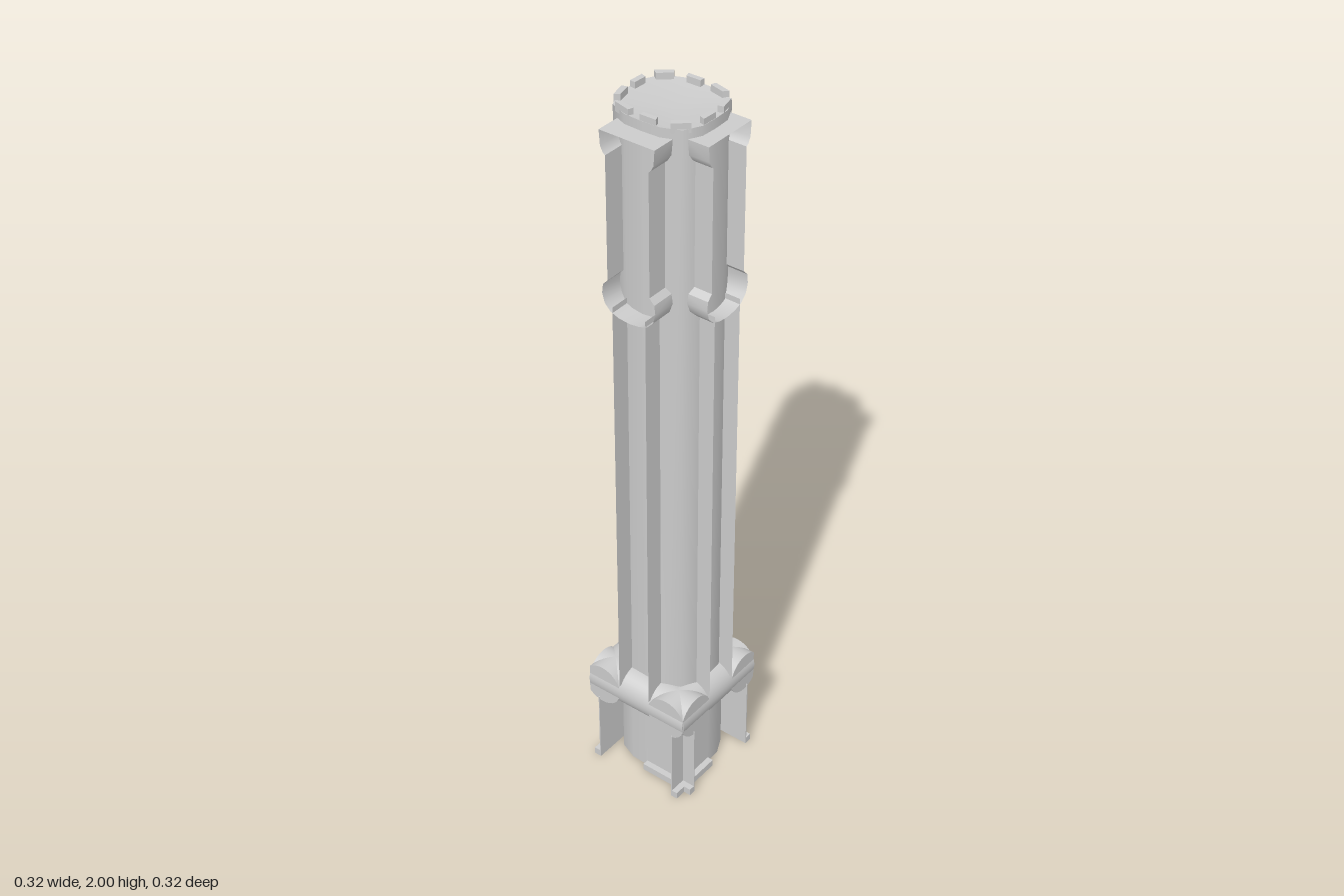
import * as THREE from 'three';
import { toCreasedNormals } from 'three/addons/utils/BufferGeometryUtils.js';

const mat = new THREE.MeshStandardMaterial({ color: 0xcccccc, side: THREE.DoubleSide });
const CX = -0.003, CZ = -0.004, RX = 0.123, RZ = 0.112, SIDES = 16;

function add(parent, name, geometry) {
  const mesh = new THREE.Mesh(geometry, mat);
  mesh.name = name;
  parent.add(mesh);
  return mesh;
}

// Rounded-square plan of the shaft, k scales it inwards
function plan(angle, k = 1) {
  const c = Math.cos(angle), s = Math.sin(angle), n = 3.2;
  const r = k / Math.pow(Math.abs(c) ** n + Math.abs(s) ** n, 1 / n);
  return [CX + RX * r * c, CZ + RZ * r * s];
}

// Turn a round geometry into the rounded-square plan
function squareOff(geo) {
  const p = geo.attributes.position;
  for (let i = 0; i < p.count; i++) {
    const x = p.getX(i), z = p.getZ(i);
    const [nx, nz] = plan(Math.atan2(z, x), Math.hypot(x, z));
    p.setX(i, nx);
    p.setZ(i, nz);
  }
  geo.computeVertexNormals();
  return geo;
}

// Thin sheet: an outline in x,y swept from z0 to z1
function sheet(points, z0, z1) {
  const pos = [], idx = [];
  points.forEach(([x, y], i) => {
    pos.push(x, y, z0, x, y, z1);
    if (i) {
      const a = 2 * (i - 1);
      idx.push(a, a + 2, a + 1, a + 1, a + 2, a + 3);
    }
  });
  const g = new THREE.BufferGeometry();
  g.setAttribute('position', new THREE.Float32BufferAttribute(pos, 3));
  g.setIndex(idx);
  return toCreasedNormals(g, 0.6);
}

function box(parent, name, x0, x1, y0, y1, z0, z1) {
  const m = add(parent, name, new THREE.BoxGeometry(x1 - x0, y1 - y0, z1 - z0));
  m.position.set((x0 + x1) / 2, (y0 + y1) / 2, (z0 + z1) / 2);
}

// Open channel with a flared bracket at its top, facing +z
function makePilaster() {
  const g = new THREE.Group();
  for (const x of [-0.053, 0.045]) {
    add(g, 'pilasterWall', sheet([[x, 0.3], [x, 1.5]], 0.09, 0.16));
  }
  const half = [[0, 1.475], [0.03, 1.478], [0.055, 1.487], [0.072, 1.505], [0.079, 1.53],
    [0.076, 1.555], [0.062, 1.57], [0.062, 1.9], [0.068, 1.905], [0.076, 1.92], [0.079, 1.96], [0, 1.96]];
  const loop = half.concat(half.slice(0, -1).reverse().map(([x, y]) => [-x, y]));
  add(g, 'bracket', sheet(loop.map(([x, y]) => [x - 0.004, y]), 0.09, 0.16));
  return g;
}

export function createModel() {
  const model = new THREE.Group();
  model.name = 'column';

  // Shaft, open underneath, with a dished top
  const shaft = new THREE.CylinderGeometry(1, 1, 1.985, SIDES, 1, true);
  add(model, 'shaft', squareOff(shaft.translate(0, 0.9925, 0)));
  const dish = new THREE.CircleGeometry(1, SIDES).rotateX(-Math.PI / 2).translate(0, 1.985, 0);
  dish.attributes.position.setY(0, 1.97);
  add(model, 'dishedTop', squareOff(dish));

  // Ring of low merlons
  for (let i = 0; i < 10; i++) {
    const a = (i / 10) * Math.PI * 2, b = a + 0.36;
    const shape = new THREE.Shape([[a, 0.99], [b, 0.99], [b, 0.87], [a, 0.87]].map(([t, k]) => {
      const [x, z] = plan(t, k);
      return new THREE.Vector2(x, -z);
    }));
    const geo = new THREE.ExtrudeGeometry(shape, { depth: 0.025, bevelEnabled: false });
    add(model, 'merlon', geo.rotateX(-Math.PI / 2).translate(0, 1.975, 0));
  }

  // Pilasters on the front and left
  const front = makePilaster();
  front.name = 'frontPilaster';
  const left = makePilaster();
  left.name = 'leftPilaster';
  left.rotation.y = Math.PI / 2;
  left.scale.x = -1;
  model.add(front, left);

  // Collar of four crossing rolls, flattened on the back and right
  for (const alongX of [true, false]) {
    for (const offset of [0.1, -0.115]) {
      const geo = new THREE.CylinderGeometry(0.06, 0.06, 0.314, 32, 1);
      if (alongX) geo.rotateZ(Math.PI / 2).translate(0, 0.27, offset);
      else geo.rotateX(Math.PI / 2).translate(offset, 0.27, 0);
      const p = geo.attributes.position;
      for (let i = 0; i < p.count; i++) {
        p.setX(i, Math.max(p.getX(i), -0.158));
        p.setZ(i, Math.max(p.getZ(i), -0.156));
      }
      add(model, 'collarRoll', toCreasedNormals(geo, 0.5));
    }
  }

  // Base walls: full on the back and right, half on the front and left
  const t = 0.003, h = 0.22;
  box(model, 'baseBackWall', -0.127, 0.16, 0, h, -0.127, -0.127 + t);
  box(model, 'baseRightWall', -0.127, -0.127 + t, 0, h, -0.127, 0.16);
  box(model, 'baseFrontWall', 0, 0.16, 0, h, 0.108, 0.108 + t);
  box(model, 'baseLeftWall', 0.12, 0.12 + t, 0, h, 0, 0.16);

  // Foot moulding along each wall
  box(model, 'footBack', -0.145, 0.16, 0, 0.02, -0.145, -0.126);
  box(model, 'footRight', -0.145, -0.126, 0, 0.02, -0.145, 0.16);
  box(model, 'footFront', 0, 0.16, 0, 0.02, 0.11, 0.128);
  box(model, 'footLeft', 0.122, 0.14, 0, 0.02, 0, 0.16);

  return model;
}
